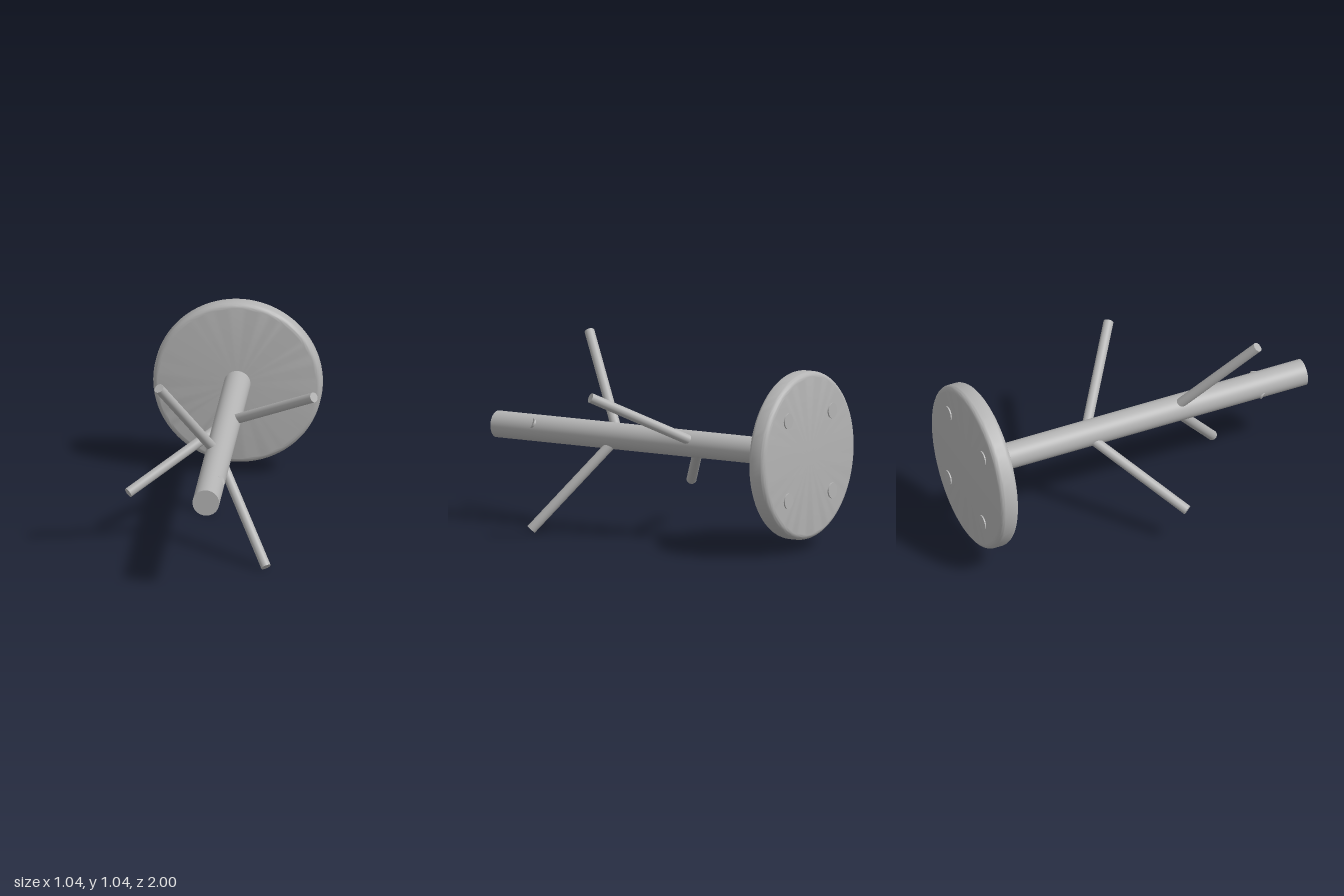
import * as THREE from 'three';
import { toCreasedNormals } from 'three/addons/utils/BufferGeometryUtils.js';

const AXIS_Y = 0.523;          // height of the post's axis
const PEG_R = 0.027;
const SLOPE = 1.55;            // outward travel of a peg per unit along the post

export function createModel() {
  const model = new THREE.Group();
  model.name = 'coatStand';
  const grey = new THREE.MeshStandardMaterial({ color: 0xb4b4b4 });
  grey.name = 'grey';

  // everything is built around the z axis, then lifted
  const stand = new THREE.Group();
  stand.name = 'stand';
  stand.position.y = AXIS_Y;
  model.add(stand);

  const add = (name, geometry) => {
    const mesh = new THREE.Mesh(geometry, grey);
    mesh.name = name;
    stand.add(mesh);
    return mesh;
  };
  const disc = (radius, z0, z1, sides) =>
    new THREE.CylinderGeometry(radius, radius, z1 - z0, sides)
      .rotateX(Math.PI / 2).translate(0, 0, (z0 + z1) / 2);

  // post
  add('post', disc(0.072, -0.9, 1, 64));

  // round base with filleted rims
  const R = 0.455, back = -0.993, front = -0.885, f = 0.032;
  const profile = [new THREE.Vector2(0, back)];
  for (let i = 0; i <= 8; i++) {
    const a = -Math.PI / 2 + (i / 8) * Math.PI / 2;
    profile.push(new THREE.Vector2(R - f + f * Math.cos(a), back + f + f * Math.sin(a)));
  }
  for (let i = 0; i <= 8; i++) {
    const a = (i / 8) * Math.PI / 2;
    profile.push(new THREE.Vector2(R - f + f * Math.cos(a), front - f + f * Math.sin(a)));
  }
  profile.push(new THREE.Vector2(0, front));
  const base = new THREE.LatheGeometry(profile, 96).rotateX(Math.PI / 2);
  add('base', toCreasedNormals(base, 0.5));

  // four foot pads under the base
  for (const sx of [-1, 1]) for (const sy of [-1, 1]) {
    add('footPad', disc(0.042, -1, -0.99, 32).translate(sx * 0.217, sy * 0.217, 0));
  }

  // slanted peg from radius r0 to r1, its tip at tipZ, turned by angle round the post
  const peg = (name, angle, r0, r1, tipZ) => {
    const at = (r) => new THREE.Vector3(
      r * Math.cos(angle), r * Math.sin(angle), tipZ - (r1 - r) / SLOPE);
    const a = at(r0), b = at(r1);
    const mesh = add(name, new THREE.CylinderGeometry(PEG_R, PEG_R, a.distanceTo(b), 32));
    mesh.position.copy(a).add(b).multiplyScalar(0.5);
    mesh.quaternion.setFromUnitVectors(new THREE.Vector3(0, 1, 0), b.sub(a).normalize());
  };
  for (const turn of [0, Math.PI]) {
    peg('upperPeg', Math.PI * 2 / 3 + turn, 0.02, 0.577, 0.6);
    peg('lowerPeg', Math.PI / 6 + turn, 0.02, 0.577, 0.085);
    // short stubs that barely break the post's surface
    peg('pegStub', Math.PI / 6 + turn, 0.02, 0.067, 0.745);
  }
  return model;
}
